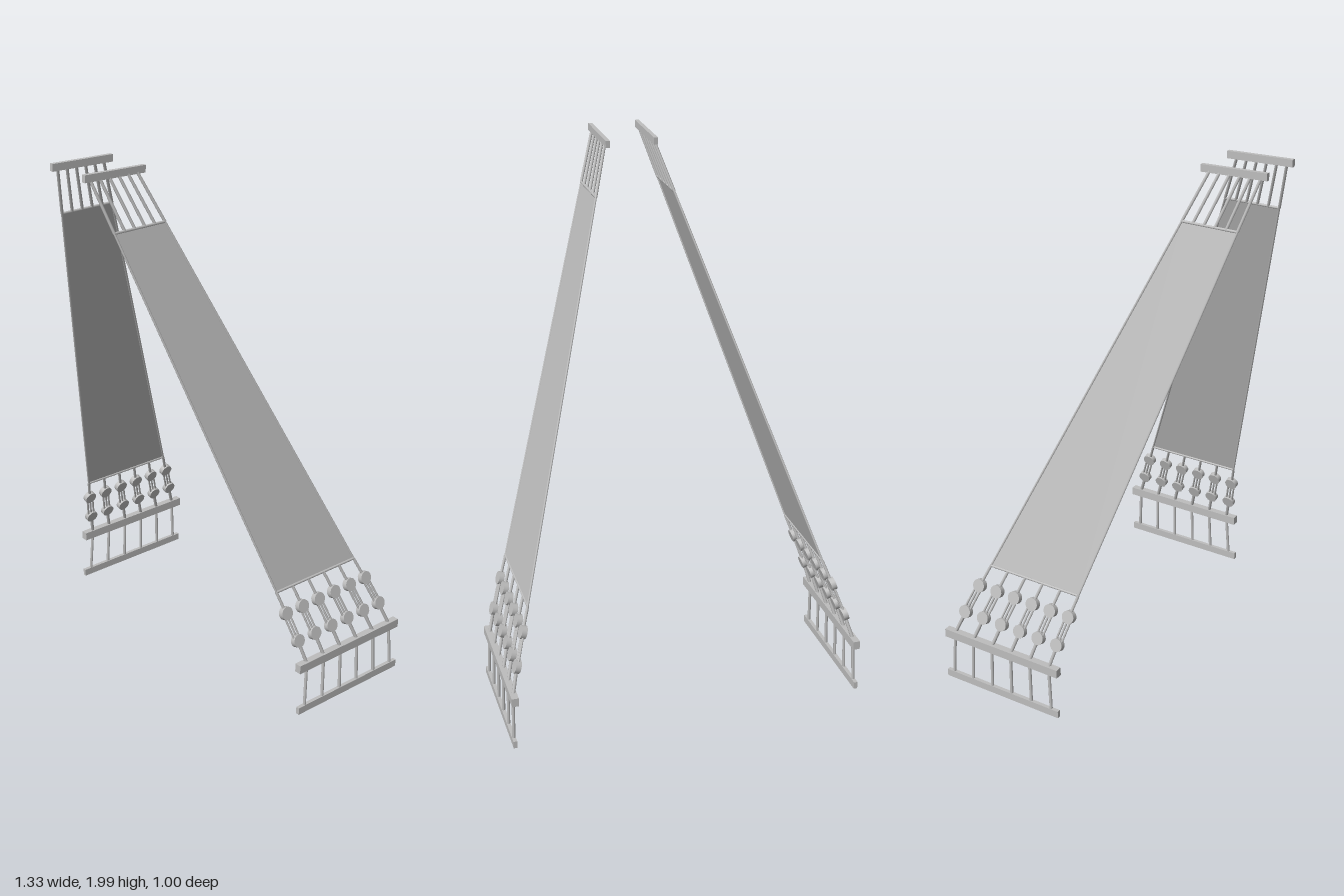
import * as THREE from 'three';

const grey = new THREE.MeshStandardMaterial({ color: 0xbdbdbd });
grey.name = 'weathered grey';
const cloth = new THREE.MeshStandardMaterial({ color: 0xbdbdbd, side: THREE.DoubleSide });
cloth.name = 'panel grey';

const COUNT = 6;
const lerp = THREE.MathUtils.lerp;
// every shroud lies in one sloping plane, x depending on height only
const planeX = (y) => 0.09 + (1.98 - y) * 0.318;
// z of shroud i (0 = foremost) at height y
const shroudZ = (i, y) => lerp(0.475 - (1.98 - y) * 0.29, 0.286 - (1.98 - y) * 0.424, i / (COUNT - 1));

function createSide(s) {
  const side = new THREE.Group();
  const normal = new THREE.Vector3(s * 0.953, 0.303, 0);
  const up = new THREE.Vector3(0, 1, 0);
  const at = (i, y) => new THREE.Vector3(s * planeX(y), y, shroudZ(i, y));

  const add = (name, geometry, material = grey) => {
    const mesh = new THREE.Mesh(geometry, material);
    mesh.name = name;
    side.add(mesh);
    return mesh;
  };
  const rod = (name, a, b, r) => {
    const mesh = add(name, new THREE.CylinderGeometry(r, r, a.distanceTo(b), 8));
    mesh.position.copy(a).lerp(b, 0.5);
    mesh.quaternion.setFromUnitVectors(up, b.clone().sub(a).normalize());
  };
  const rail = (name, x, y, z, w, h, d) => {
    const mesh = add(name, new THREE.BoxGeometry(w, h, d));
    mesh.position.set(s * x, y, z);
    return mesh;
  };

  // rails
  rail('topRail', 0.09, 1.982, 0.375, 0.015, 0.026, 0.25).rotation.x = -0.03;
  rail('channelRail', 0.652, 0.198, -0.245, 0.026, 0.033, 0.51);
  rail('lowerRail', 0.658, 0.02, -0.245, 0.014, 0.028, 0.51);

  // tapering panel with its edge ropes and end bars
  const corners = [at(0, 0.49), at(5, 0.49), at(5, 1.8), at(0, 1.8)];
  const panel = new THREE.BufferGeometry().setFromPoints(corners);
  panel.setIndex(s > 0 ? [0, 1, 2, 0, 2, 3] : [0, 2, 1, 0, 3, 2]);
  panel.computeVertexNormals();
  add('ratlinePanel', panel, cloth);
  rod('panelFrontRope', corners[0], corners[3], 0.004);
  rod('panelBackRope', corners[1], corners[2], 0.004);
  rod('panelBottomBar', corners[0], corners[1], 0.005);
  rod('panelTopBar', corners[3], corners[2], 0.005);

  for (let i = 0; i < COUNT; i++) {
    const t = i / (COUNT - 1);
    const upper = new THREE.Vector3(s * 0.592, 0.408, lerp(0.02, -0.38, t));
    const lower = new THREE.Vector3(s * 0.627, 0.298, lerp(-0.01, -0.425, t));
    const foot = new THREE.Vector3(s * 0.652, 0.205, lerp(-0.034, -0.462, t));
    const base = new THREE.Vector3(s * 0.658, 0.03, lerp(-0.024, -0.472, t));

    // ropes above and below the panel
    rod('upperShroud', at(i, 1.8), at(i, 1.98), 0.0055);
    rod('lowerShroud', upper, at(i, 0.49), 0.0055);

    // pair of deadeyes
    for (const p of [upper, lower]) {
      const disc = add('deadeye', new THREE.CylinderGeometry(0.025, 0.025, 0.02, 16));
      disc.position.copy(p);
      disc.quaternion.setFromUnitVectors(up, normal);
    }
    // lanyards side by side between them
    for (const k of [-1, 0, 1]) {
      const offset = new THREE.Vector3(0, 0, k * 0.013);
      rod('lanyard', upper.clone().add(offset), lower.clone().add(offset), 0.004);
    }
    // iron links to the channel and down to the lower rail
    rod('deadeyeStrap', lower, foot, 0.0065);
    rod('chainPlate', foot, base, 0.006);
  }
  return side;
}

export function createModel() {
  const model = new THREE.Group();
  model.name = 'shrouds';
  for (const s of [1, -1]) {
    const side = createSide(s);
    side.name = s > 0 ? 'leftShrouds' : 'rightShrouds';
    model.add(side);
  }
  return model;
}
